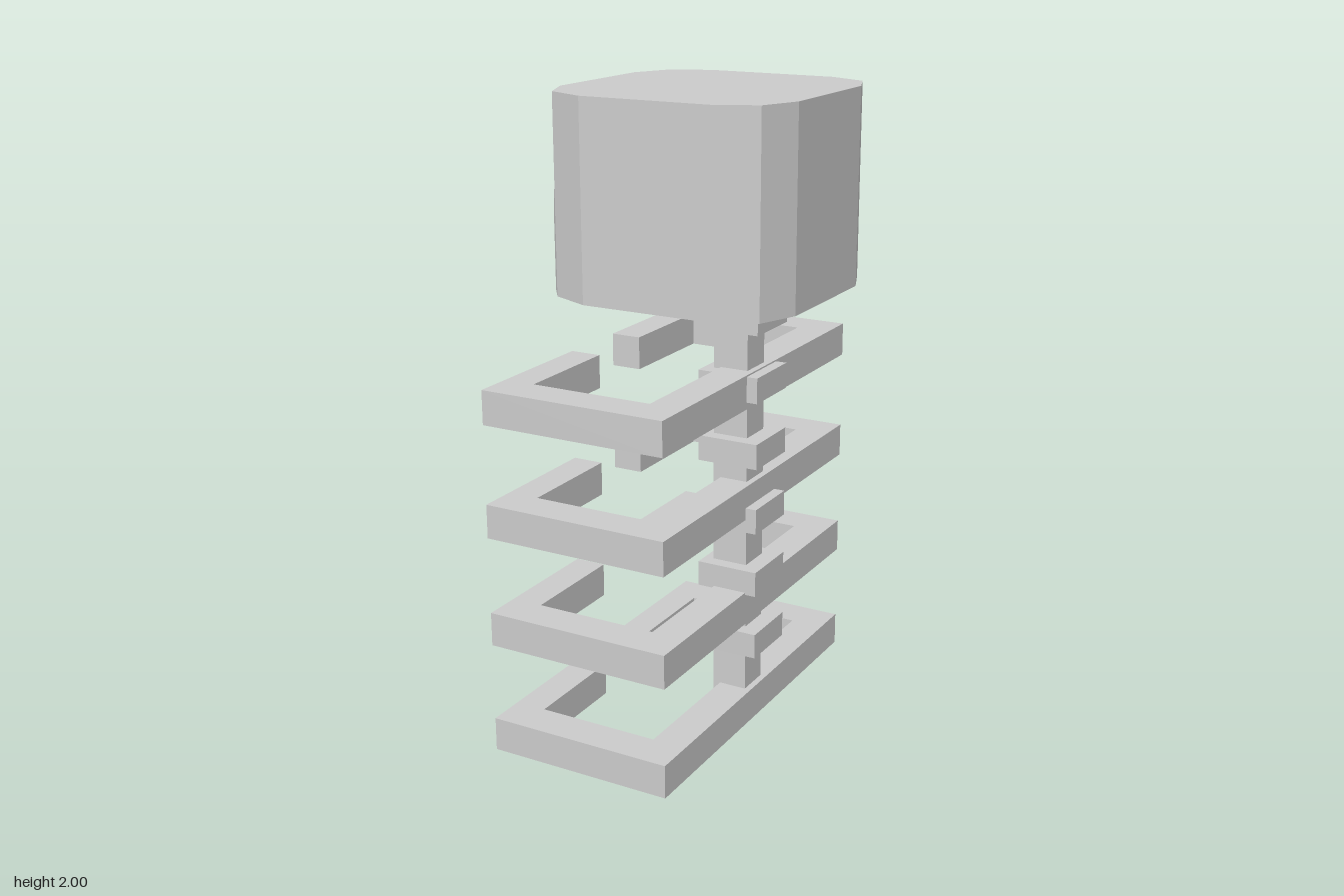
import * as THREE from 'three';

const material = new THREE.MeshStandardMaterial({ color: 0xcccccc, flatShading: true, side: THREE.DoubleSide });

const toShape = (pts) => new THREE.Shape(pts.map(([a, b]) => new THREE.Vector2(a, b)));

function add(parent, name, geometry) {
  const mesh = new THREE.Mesh(geometry, material);
  mesh.name = name;
  parent.add(mesh);
  return mesh;
}

// Box given by its limits on each axis
function box(parent, name, [x0, x1], [y0, y1], [z0, z1]) {
  const g = new THREE.BoxGeometry(x1 - x0, y1 - y0, z1 - z0);
  return add(parent, name, g.translate((x0 + x1) / 2, (y0 + y1) / 2, (z0 + z1) / 2));
}

// Plan outline (x, z) raised from y0 to y1
function slab(parent, name, pts, y0, y1) {
  const g = new THREE.ExtrudeGeometry(toShape(pts), { depth: y1 - y0, bevelEnabled: false });
  return add(parent, name, g.rotateX(-Math.PI / 2).translate(0, y0, 0));
}

// Half a plan outline followed by its mirror image in z
const mirrored = (half) => [...half, ...half.map(([x, z]) => [x, -z]).reverse()];

// Corner piece of the skull: the same cross-section repeated at several heights
function cheek(parent, name, side) {
  const levels = [[1.4, 0.26], [1.62, 0.26], [1.74, 0.21], [2, 0.21]];
  const rings = levels.map(([y, w]) =>
    [[-0.315, 0.335], [-0.37, w], [-0.28, w], [-0.28, 0.28]].map(([x, z]) => [x, y, z * side]));
  const pos = [];
  const quad = (a, b, c, d) => {
    const order = side > 0 ? [a, b, c, a, c, d] : [a, c, b, a, d, c];
    order.forEach((p) => pos.push(...p));
  };
  for (let i = 0; i < 3; i++) {
    for (let j = 0; j < 4; j++) {
      const k = (j + 1) % 4;
      quad(rings[i][k], rings[i][j], rings[i + 1][j], rings[i + 1][k]);
    }
  }
  quad(...rings[0]);
  quad(...[...rings[3]].reverse());
  const g = new THREE.BufferGeometry();
  g.setAttribute('position', new THREE.Float32BufferAttribute(pos, 3));
  g.computeVertexNormals();
  add(parent, name, g);
}

function buildSkull() {
  const skull = new THREE.Group();
  skull.name = 'skull';

  // Hollow shell, open below and on the face side
  const outer = mirrored([[-0.315, 0.335], [-0.19, 0.39], [0.23, 0.39], [0.355, 0.335], [0.405, 0.21]]);
  const inner = mirrored([[-0.28, 0.28], [-0.17, 0.3], [0.2, 0.3], [0.285, 0.265], [0.315, 0.19]]);
  slab(skull, 'skullWall', [...outer, ...[...inner].reverse()], 1.4, 2);
  slab(skull, 'skullRoof', inner, 1.93, 2);
  cheek(skull, 'leftCheek', 1);
  cheek(skull, 'rightCheek', -1);

  // Face plate with eye sockets and a mouth slot, drawn in (z, y)
  const face = toShape([[-0.26, 1.4], [0.26, 1.4], [0.26, 1.62], [0.21, 1.74],
    [0.21, 2], [-0.21, 2], [-0.21, 1.74], [-0.26, 1.62]]);
  const hole = (z0, z1, y0, y1) => face.holes.push(toShape([[z0, y0], [z0, y1], [z1, y1], [z1, y0]]));
  hole(-0.205, -0.06, 1.745, 1.925);
  hole(0.06, 0.205, 1.745, 1.925);
  hole(-0.25, 0.25, 1.51, 1.62);
  const plate = new THREE.ExtrudeGeometry(face, { depth: 0.09, bevelEnabled: false });
  add(skull, 'face', plate.rotateY(-Math.PI / 2).translate(-0.28, 0, 0));

  // Two rows of teeth
  for (const z of [-0.19, -0.065, 0.065, 0.19]) {
    box(skull, 'lowerTooth', [-0.37, -0.3], [1.51, 1.55], [z - 0.04, z + 0.04]);
    box(skull, 'upperTooth', [-0.37, -0.3], [1.585, 1.62], [z - 0.04, z + 0.04]);
  }
  return skull;
}

export function createModel() {
  const model = new THREE.Group();
  model.name = 'skeletonTorso';

  // Rib hoops, open at the breast
  const hoop = [[-0.41, 0.12], [-0.41, 0.6], [0.195, 0.6], [0.195, -0.6], [-0.41, -0.6], [-0.41, -0.12],
    [-0.31, -0.12], [-0.31, -0.48], [0.085, -0.48], [0.085, 0.48], [-0.31, 0.48], [-0.31, 0.12]];
  for (const y of [0, 0.355, 0.705, 1.06]) slab(model, 'rib', hoop, y, y + 0.107);

  // Spine with vertebrae
  box(model, 'spine', [0.06, 0.175], [0.02, 1.45], [-0.055, 0.055]);
  for (const y of [0.245, 0.455, 0.663, 0.873, 1.082, 1.292]) {
    box(model, 'vertebra', [0.03, 0.23], [y, y + 0.08], [-0.098, 0.098]);
  }

  model.add(buildSkull());
  return model;
}
